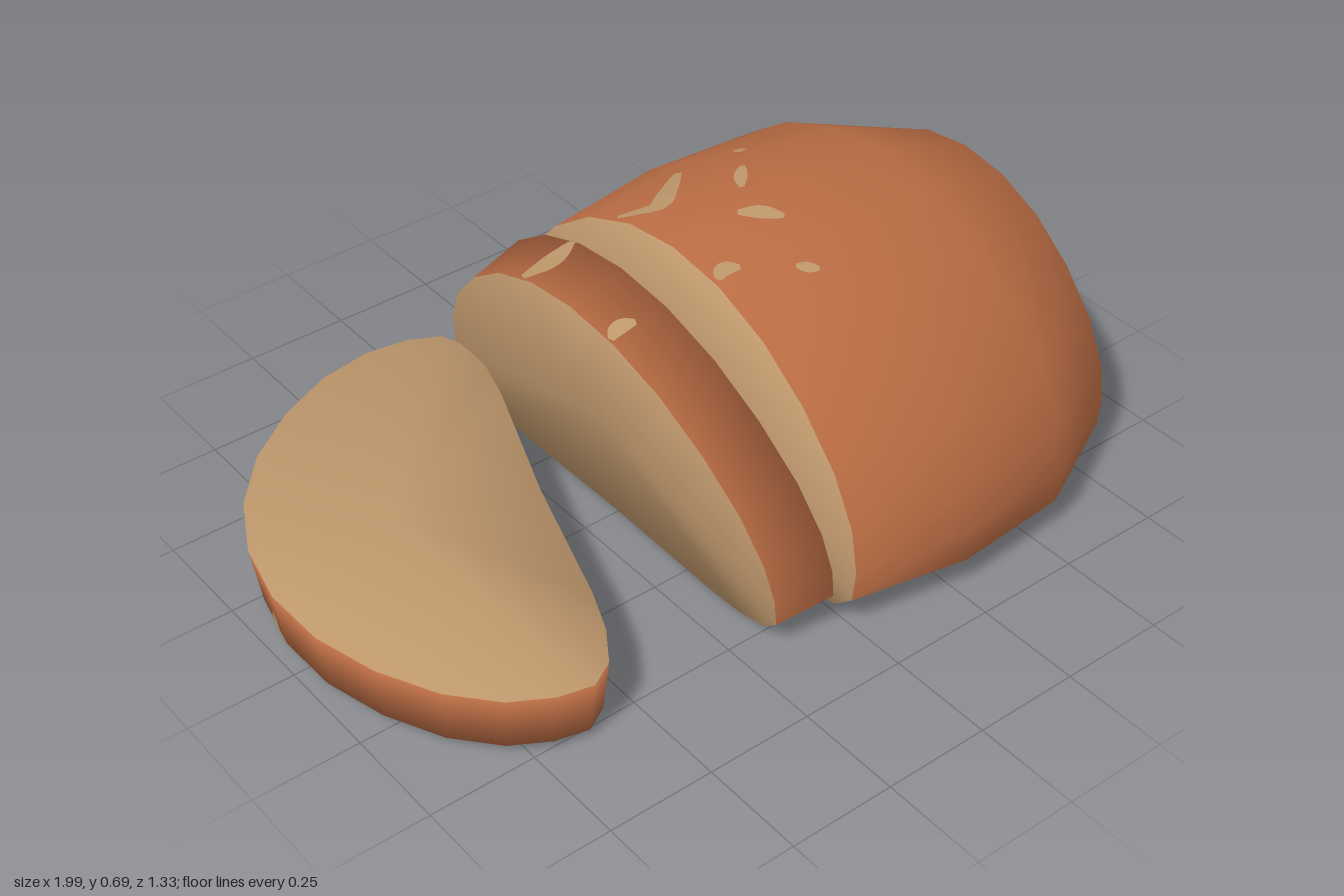
import * as THREE from 'three';

const crust = new THREE.MeshStandardMaterial({ color: 0xb86b43 });
crust.name = 'crust';
const crumb = new THREE.MeshStandardMaterial({ color: 0xbd966b });
crumb.name = 'crumb';

// Half outline of the bread, top to bottom: [share of half width, share of height]
const half = [[0, 1], [0.25, 0.97], [0.49, 0.88], [0.7, 0.74], [0.87, 0.57], [0.97, 0.395], [1, 0.24],
  [0.985, 0.115], [0.9, 0.045], [0.75, 0.01], [0.57, 0], [0, 0.015]];
const outline = [...half, ...half.slice(1, -1).reverse().map(([u, v]) => [-u, v])];

// Lofts rings [x, centreZ, halfWidth, bottomY, topY] and closes both ends
function loft(name, rings, endMaterial) {
  const n = outline.length, last = rings.length - 1, pos = [], sides = [], start = [], end = [];
  for (const [x, cz, w, y0, y1] of rings) {
    for (const [u, v] of outline) pos.push(x, y0 + v * (y1 - y0), cz + u * w);
  }
  for (const r of [rings[0], rings[last]]) pos.push(r[0], (r[3] + r[4]) / 2, r[1]);
  const c0 = rings.length * n, c1 = c0 + 1;
  for (let j = 0; j < n; j++) {
    const k = (j + 1) % n;
    for (let i = 0; i < last; i++) {
      const a = i * n + j, b = i * n + k;
      sides.push(a, b, a + n, b, b + n, a + n);
    }
    start.push(c0, k, j);
    end.push(c1, last * n + j, last * n + k);
  }
  const geo = new THREE.BufferGeometry();
  geo.setAttribute('position', new THREE.Float32BufferAttribute(pos, 3));
  geo.setIndex([...sides, ...start, ...end]);
  geo.addGroup(0, sides.length, 0);
  geo.addGroup(sides.length, start.length, 1);
  geo.addGroup(sides.length + start.length, end.length, 2);
  geo.computeVertexNormals();
  const mesh = new THREE.Mesh(geo, [crust, crumb, endMaterial]);
  mesh.name = name;
  return mesh;
}

// Lays a thin pale streak on the crust; points are [x, z], or [x, y] when cast from the back
function addStreak(mesh, points, width, fromBack = false) {
  const curve = new THREE.CatmullRomCurve3(points.map(([a, b]) => new THREE.Vector3(a, b, 0)));
  const ray = new THREE.Raycaster();
  const pos = [], index = [], steps = 12;
  for (let i = 0; i <= steps; i++) {
    const p = curve.getPoint(i / steps), t = curve.getTangent(i / steps);
    const w = width * (0.35 + 0.65 * Math.sin(Math.PI * i / steps)) / 2;
    for (const s of [-1, 1]) {
      const a = p.x - t.y * w * s, b = p.y + t.x * w * s;
      if (fromBack) ray.set(new THREE.Vector3(a, b, -3), new THREE.Vector3(0, 0, 1));
      else ray.set(new THREE.Vector3(a, 3, b), new THREE.Vector3(0, -1, 0));
      const hit = ray.intersectObject(mesh, false)[0];
      if (!hit) return;
      pos.push(...hit.point.addScaledVector(hit.face.normal, 0.004).toArray());
    }
    const k = 2 * i;
    // Winding faces outward for both cast directions
    if (i < steps) index.push(k, k + 1, k + 2, k + 1, k + 3, k + 2);
  }
  if (!fromBack) index.reverse();
  index.reverse();
  const geo = new THREE.BufferGeometry();
  geo.setAttribute('position', new THREE.Float32BufferAttribute(pos, 3));
  geo.setIndex(index);
  geo.computeVertexNormals();
  // Turn the strip over when its normals point into the bread
  const nrm = geo.attributes.normal;
  if ((fromBack ? -nrm.getZ(6) : nrm.getY(6)) < 0) {
    geo.setIndex(index.reverse());
    geo.computeVertexNormals();
  }
  const streak = new THREE.Mesh(geo, crumb);
  streak.name = 'crustStreak';
  return streak;
}

export function createModel() {
  const model = new THREE.Group();
  model.name = 'slicedBread';

  // Main loaf, cut at its right end
  const loaf = loft('loaf', [
    [-0.02, 0.025, 0.605, 0.025, 0.67],
    [0.27, 0.025, 0.65, 0.005, 0.7],
    [0.555, 0.023, 0.632, 0.01, 0.69],
    [0.825, 0.028, 0.488, 0.02, 0.595],
    [1, 0.035, 0.165, 0.11, 0.34],
  ], crust);
  const loafGroup = new THREE.Group();
  loafGroup.name = 'cutLoaf';
  loafGroup.add(loaf);
  const streaks = [
    [[[-0.01, -0.18], [0.06, -0.13], [0.12, -0.17], [0.2, -0.235]], 0.05],
    [[[0.22, -0.04], [0.25, -0.08], [0.28, -0.11]], 0.03],
    [[[0.15, 0.03], [0.19, 0.06], [0.22, 0.1]], 0.04],
    [[[-0.01, 0.16], [0.02, 0.145], [0.05, 0.16]], 0.04],
    [[[0.15, 0.22], [0.17, 0.235], [0.19, 0.25]], 0.025],
    [[[0.335, -0.2], [0.36, -0.2]], 0.03],
    [[[0.7, 0.18], [0.75, 0.2]], 0.04, true],
    [[[0.2, 0.36], [0.26, 0.37]], 0.03, true],
  ];
  for (const s of streaks) {
    const mesh = addStreak(loaf, ...s);
    if (mesh) loafGroup.add(mesh);
  }
  model.add(loafGroup);

  // Two slices, each standing in its own frame with x across its thickness
  function makeSlice(name, rings) {
    const group = new THREE.Group();
    group.name = name;
    const slice = loft(name + 'Body', rings, crumb);
    group.add(slice);
    const t = rings[1][0];
    for (const s of [
      [[[0.004, -0.18], [t / 2, -0.16], [t - 0.004, -0.165]], 0.065],
      [[[0.004, 0.13], [t * 0.25, 0.12], [t * 0.5, 0.135]], 0.04],
    ]) {
      const mesh = addStreak(slice, ...s);
      if (mesh) group.add(mesh);
    }
    model.add(group);
    return group;
  }

  const leaning = makeSlice('leaningSlice', [[0, 0, 0.573, 0, 0.614], [0.135, 0.005, 0.595, 0, 0.635]]);
  leaning.position.set(-0.165, 0.01, 0);
  leaning.rotation.z = THREE.MathUtils.degToRad(10);

  const lying = makeSlice('lyingSlice', [[0, 0, 0.6, 0.01, 0.625], [0.14, 0, 0.622, 0, 0.645]]);
  const c = Math.cos(0.349), s = Math.sin(0.349);
  lying.quaternion.setFromRotationMatrix(new THREE.Matrix4().makeBasis(
    new THREE.Vector3(0, 1, 0), new THREE.Vector3(-c, 0, -s), new THREE.Vector3(-s, 0, c)));
  lying.position.set(-0.35, 0.025, -0.005);

  return model;
}
